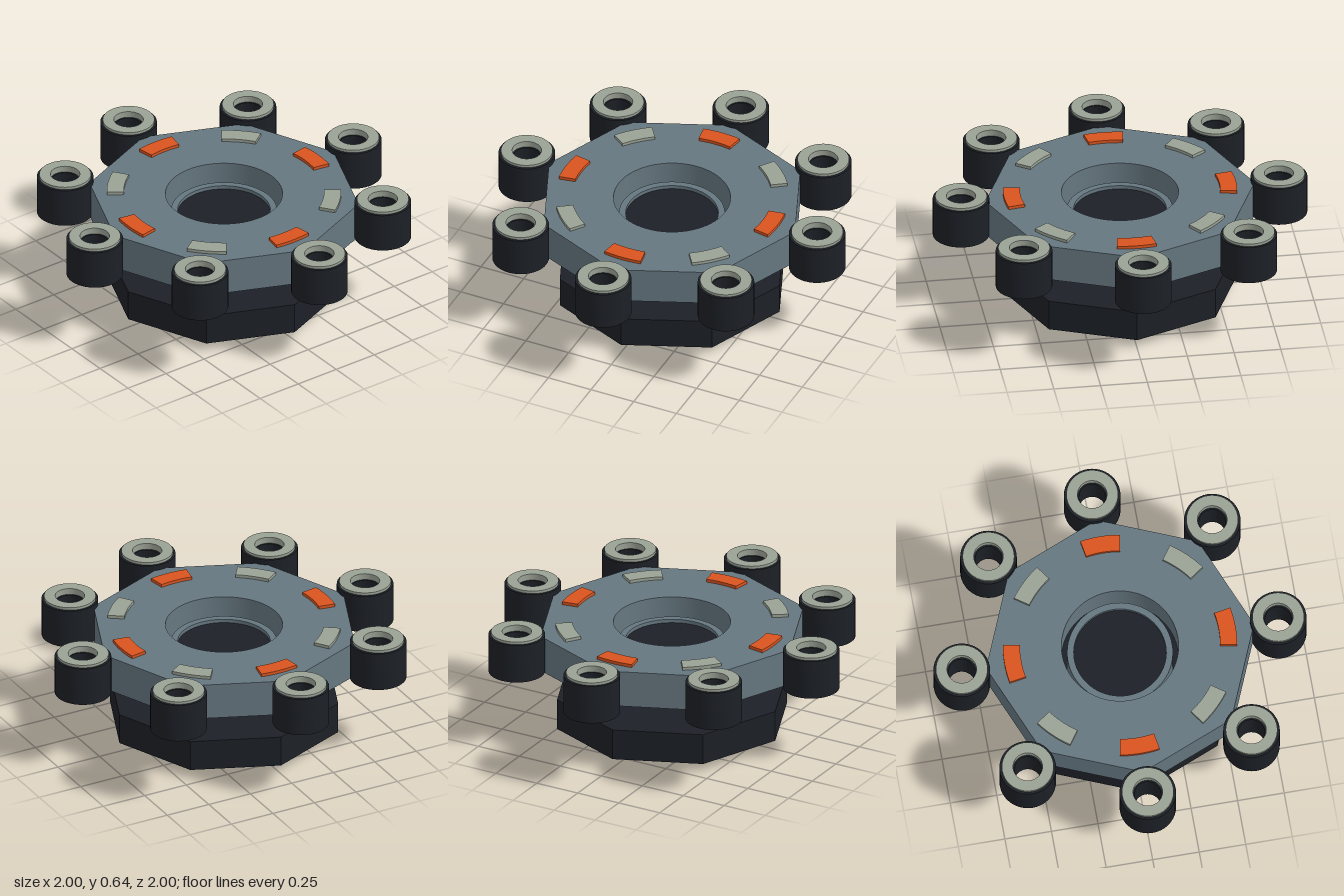
import * as THREE from 'three';
import { toCreasedNormals } from 'three/addons/utils/BufferGeometryUtils.js';

const material = (color) => new THREE.MeshStandardMaterial({ color });
const steel = material(0x667780);
const dark = material(0x1c2026);
const grey = material(0x9aa295);
const orange = material(0xd9541e);
const copper = material(0xa8552e);

function addMesh(parent, name, geometry, mat) {
  const mesh = new THREE.Mesh(geometry, mat);
  mesh.name = name;
  parent.add(mesh);
  return mesh;
}

// Upright solid from a flat outline, between two heights
function slab(shape, y0, y1) {
  const g = new THREE.ExtrudeGeometry(shape, { depth: y1 - y0, bevelEnabled: false, curveSegments: 32 });
  g.rotateX(-Math.PI / 2).translate(0, y0, 0);
  return toCreasedNormals(g, 0.5);
}

// Octagon with corners on the axes and an optional round hole
function octagon(radius, hole) {
  const shape = new THREE.Shape(Array.from({ length: 8 }, (_, i) =>
    new THREE.Vector2(radius * Math.cos(i * Math.PI / 4), radius * Math.sin(i * Math.PI / 4))));
  if (hole) shape.holes.push(new THREE.Path().absarc(0, 0, hole, 0, Math.PI * 2, true));
  return shape;
}

// Round part turned from a closed [radius, height] profile
function turned(profile, segments = 40) {
  const points = profile.concat([profile[0]]).map(([r, y]) => new THREE.Vector2(r, y));
  return toCreasedNormals(new THREE.LatheGeometry(points, segments), 0.5);
}

const tube = (inner, outer, y0, y1, segments) =>
  turned([[inner, y0], [outer, y0], [outer, y1], [inner, y1]], segments);

function disc(radius, y0, y1) {
  return new THREE.CylinderGeometry(radius, radius, y1 - y0, 48).translate(0, (y0 + y1) / 2, 0);
}

export function createModel() {
  const model = new THREE.Group();
  model.name = 'rotaryHub';

  // Stacked plates and centre
  addMesh(model, 'upperPlate', slab(octagon(0.72, 0.31), 0.4, 0.6), steel);
  addMesh(model, 'lowerPlate', slab(octagon(0.63), 0.05, 0.22), dark);
  addMesh(model, 'hubSleeve', tube(0.245, 0.28, 0.23, 0.5, 64), steel);
  addMesh(model, 'core', disc(0.25, 0, 0.48), dark);

  // Curved pad outline, centred on +x
  const half = 0.172;
  const padShape = new THREE.Shape();
  padShape.absarc(0, 0, 0.62, -half, half, false);
  padShape.absarc(0, 0, 0.53, half, -half, true);
  const padGeometry = slab(padShape, 0.59, 0.617);

  // Roller with a recessed mouth and a pale cap ring
  const rollerGeometry = turned([[0.07, 0.415], [0.15, 0.415], [0.15, 0.63],
    [0.08, 0.63], [0.08, 0.61], [0.07, 0.61]]);
  const capGeometry = tube(0.078, 0.137, 0.605, 0.645);
  const studGeometry = disc(0.047, 0.012, 0.06);

  for (let i = 0; i < 8; i++) {
    const angle = i * Math.PI / 4;
    const diagonal = i % 2 === 1;

    const roller = new THREE.Group();
    roller.name = 'roller';
    roller.position.set(0.85 * Math.cos(angle), 0, 0.85 * Math.sin(angle));
    addMesh(roller, 'rollerBody', rollerGeometry, dark);
    addMesh(roller, 'rollerCap', capGeometry, grey);
    model.add(roller);

    addMesh(model, diagonal ? 'greyPad' : 'orangePad', padGeometry, diagonal ? grey : orange).rotation.y = angle;

    // Studs under the lower plate
    if (diagonal) {
      addMesh(model, 'stud', studGeometry, copper)
        .position.set(0.46 * Math.cos(angle), 0, 0.46 * Math.sin(angle));
    }
  }
  return model;
}
